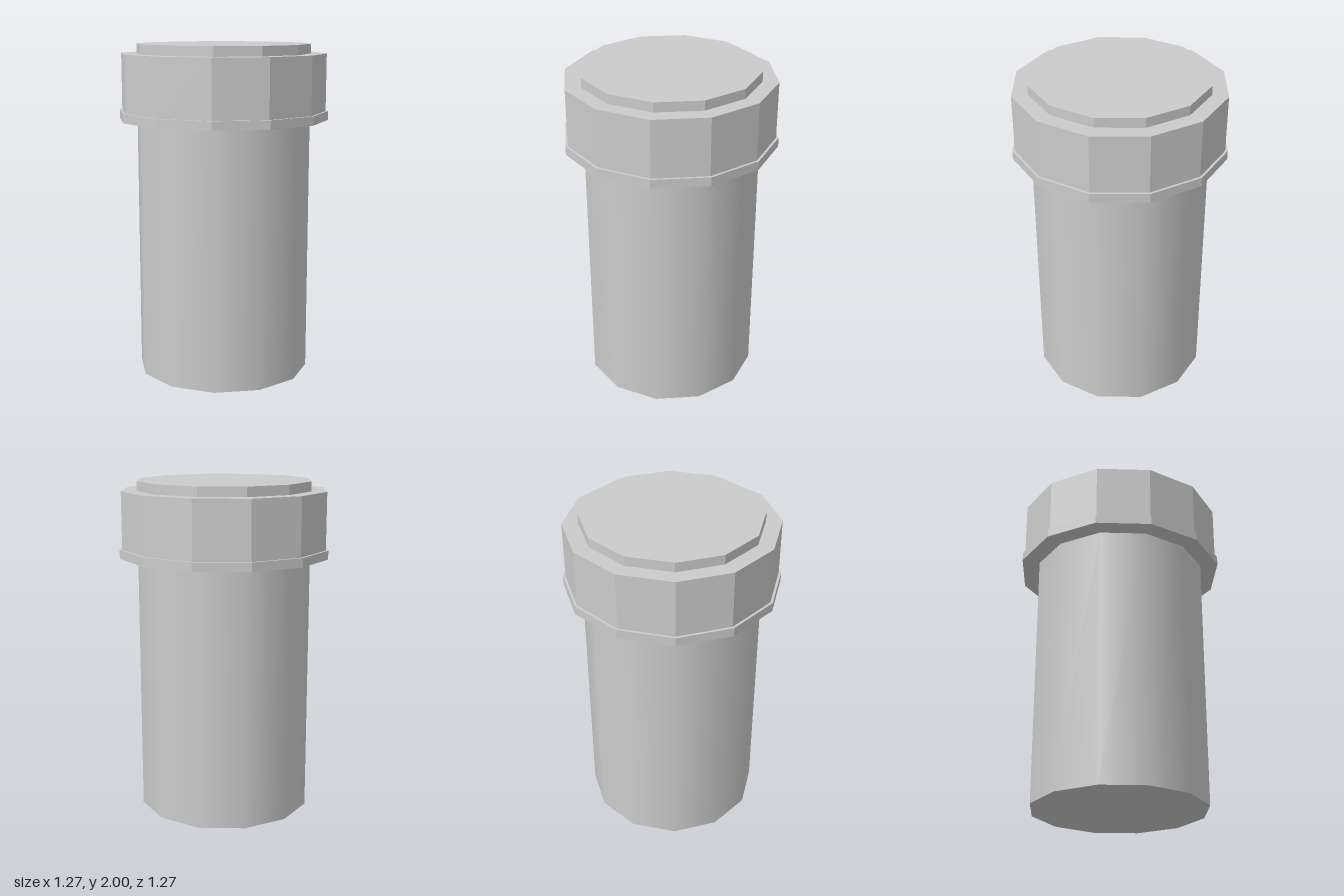
import * as THREE from 'three';

const SIDES = 12;

export function createModel() {
  const group = new THREE.Group();
  const smooth = new THREE.MeshStandardMaterial({ color: 0xcccccc });
  const faceted = new THREE.MeshStandardMaterial({ color: 0xcccccc, flatShading: true });

  // Twelve-sided drum between two heights
  function drum(name, radius, bottom, top, material) {
    const geometry = new THREE.CylinderGeometry(radius, radius, top - bottom, SIDES);
    const mesh = new THREE.Mesh(geometry, material);
    mesh.name = name;
    mesh.position.y = (bottom + top) / 2;
    group.add(mesh);
  }

  // Smooth container body, its top tucked inside the lid
  drum('body', 0.524, 0, 1.57, smooth);

  // Faceted lid: lower flange, grip band and raised top
  drum('lidFlange', 0.633, 1.55, 1.603, faceted);
  drum('lidBand', 0.618, 1.603, 1.943, faceted);
  drum('lidTop', 0.524, 1.943, 2, faceted);

  return group;
}
